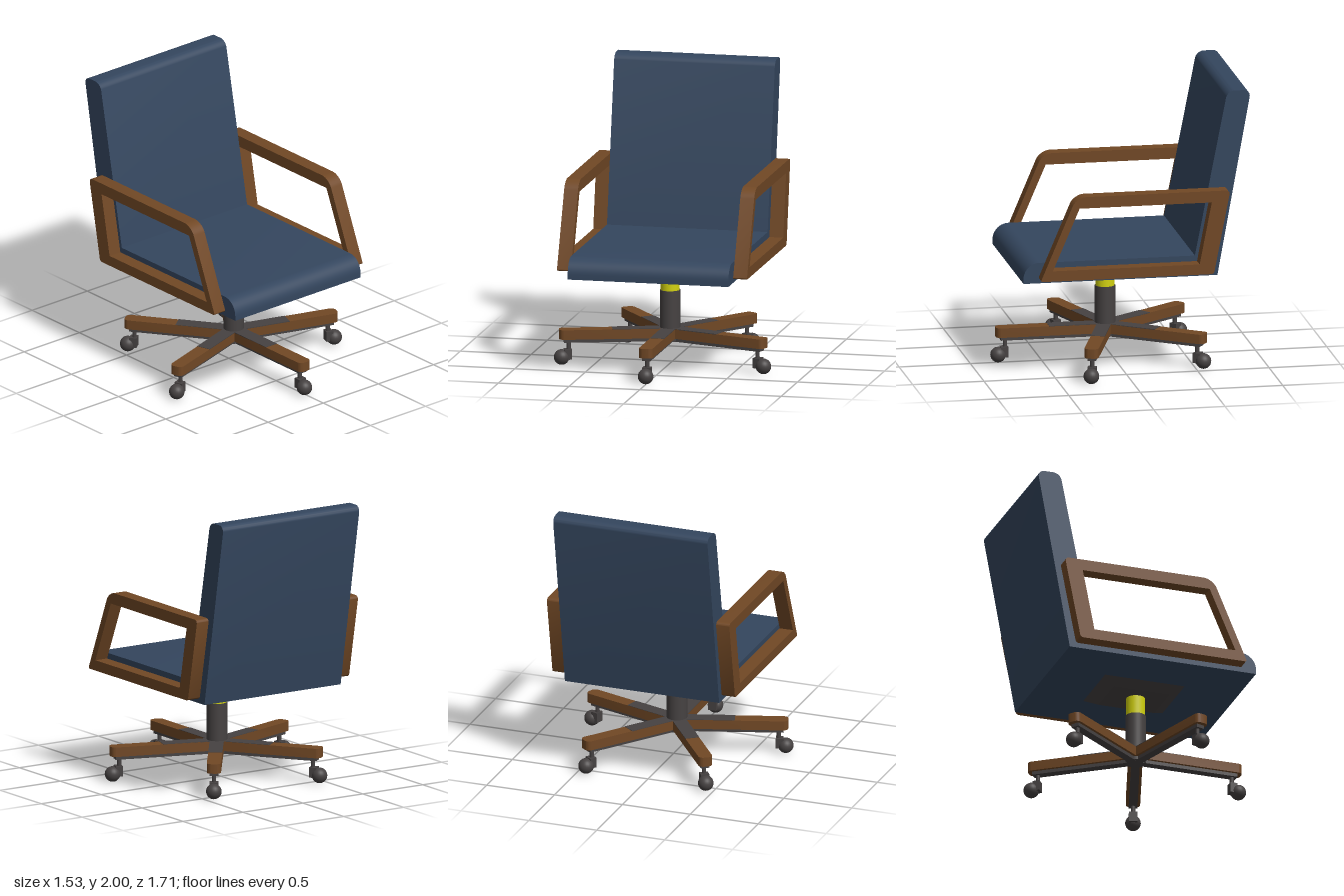
import * as THREE from 'three';
import { toCreasedNormals } from 'three/addons/utils/BufferGeometryUtils.js';

const mat = (name, color) => {
  const m = new THREE.MeshStandardMaterial({ color });
  m.name = name;
  return m;
};

// Closed path through [x, y, cornerRadius] points
function roundedPath(points, path) {
  const n = points.length;
  points.forEach(([x, y, r], i) => {
    const c = new THREE.Vector2(x, y);
    const toward = (q, d) => c.clone().add(new THREE.Vector2(q[0] - x, q[1] - y).setLength(d));
    const prev = points[(i + n - 1) % n], next = points[(i + 1) % n];
    const a = r ? toward(prev, r) : c, b = r ? toward(next, r) : c;
    if (i === 0) path.moveTo(a.x, a.y); else path.lineTo(a.x, a.y);
    if (r) {
      const p = toward(prev, r * 0.45), q = toward(next, r * 0.45);
      path.bezierCurveTo(p.x, p.y, q.x, q.y, b.x, b.y);
    }
  });
  path.closePath();
  return path;
}

const extrude = (shape, depth) =>
  new THREE.ExtrudeGeometry(shape, { depth, bevelEnabled: false, curveSegments: 10 });

// Side profile given in (z, y), extruded along x and centred
const sideExtrude = (shape, width) =>
  toCreasedNormals(extrude(shape, width).translate(0, 0, -width / 2).rotateY(-Math.PI / 2), 0.5);

export function createModel() {
  const fabric = mat('navy fabric', 0x34465e);
  const wood = mat('brown wood', 0x714825);
  const metal = mat('dark grey metal', 0x464242);
  const yellow = mat('yellow sleeve', 0xd2d20f);

  const group = new THREE.Group();
  const add = (parent, name, geometry, material, x = 0, y = 0, z = 0) => {
    const mesh = new THREE.Mesh(geometry, material);
    mesh.name = name;
    mesh.position.set(x, y, z);
    parent.add(mesh);
    return mesh;
  };

  // Seat and backrest in one L-shaped cushion
  const cushion = roundedPath([
    [0.735, 0.695, 0], [0.735, 0.84, 0.11], [-0.467, 0.84, 0],
    [-0.695, 2, 0.05], [-0.86, 2, 0.05], [-0.625, 0.695, 0],
  ], new THREE.Shape());
  add(group, 'seatAndBackrest', sideExtrude(cushion, 1.136), fabric, -0.003);

  // Armrest frames
  const frame = roundedPath([
    [0.635, 0.73, 0.015], [0.385, 1.32, 0.07], [-0.695, 1.32, 0.03], [-0.58, 0.73, 0.02],
  ], new THREE.Shape());
  frame.holes.push(roundedPath([
    [0.55, 0.803, 0], [0.362, 1.24, 0], [-0.565, 1.24, 0], [-0.48, 0.803, 0],
  ], new THREE.Path()));
  const armGeometry = sideExtrude(frame, 0.098);
  add(group, 'rightArmrest', armGeometry, wood, -0.622);
  add(group, 'leftArmrest', armGeometry, wood, 0.624);

  // Mounting plate: inverted square frustum
  const plate = new THREE.CylinderGeometry(Math.SQRT1_2, Math.SQRT1_2 * 0.69, 0.047, 4)
    .rotateY(Math.PI / 4).scale(0.457, 1, 0.583);
  add(group, 'mountingPlate', toCreasedNormals(plate, 0.2), metal, 0.01, 0.672, 0.048);

  // Pedestal and five-spoke base
  const base = new THREE.Group();
  base.name = 'base';
  base.position.set(-0.004, 0, 0.055);
  group.add(base);
  add(base, 'gasSleeve', new THREE.CylinderGeometry(0.066, 0.066, 0.15, 32), yellow, 0, 0.58, 0);
  add(base, 'column', new THREE.CylinderGeometry(0.071, 0.071, 0.355, 32), metal, 0, 0.3375, 0);

  const spokeShape = roundedPath([
    [-0.049, 0, 0], [0.049, 0, 0], [0.049, 0.768, 0.035], [-0.049, 0.768, 0.035],
  ], new THREE.Shape());
  const spokeGeometry = toCreasedNormals(extrude(spokeShape, 0.067).rotateX(Math.PI / 2), 0.5);

  for (let i = 0; i < 5; i++) {
    const leg = new THREE.Group();
    leg.name = 'leg' + (i + 1);
    leg.rotation.y = (i * Math.PI * 2) / 5;
    base.add(leg);
    add(leg, 'spoke', spokeGeometry, wood, 0, 0.25, 0);
    add(leg, 'topInlay', new THREE.BoxGeometry(0.098, 0.005, 0.4), metal, 0, 0.25, 0.2);
    add(leg, 'underRail', new THREE.BoxGeometry(0.06, 0.027, 0.735), metal, 0, 0.172, 0.3675);
    // Caster
    add(leg, 'casterStem', new THREE.CylinderGeometry(0.015, 0.015, 0.08, 16), metal, 0, 0.13, 0.702);
    add(leg, 'casterHousing', new THREE.BoxGeometry(0.06, 0.072, 0.052), metal, 0, 0.075, 0.708);
    add(leg, 'casterBall', new THREE.SphereGeometry(0.054, 24, 16), metal, 0, 0.054, 0.75);
  }
  return group;
}
